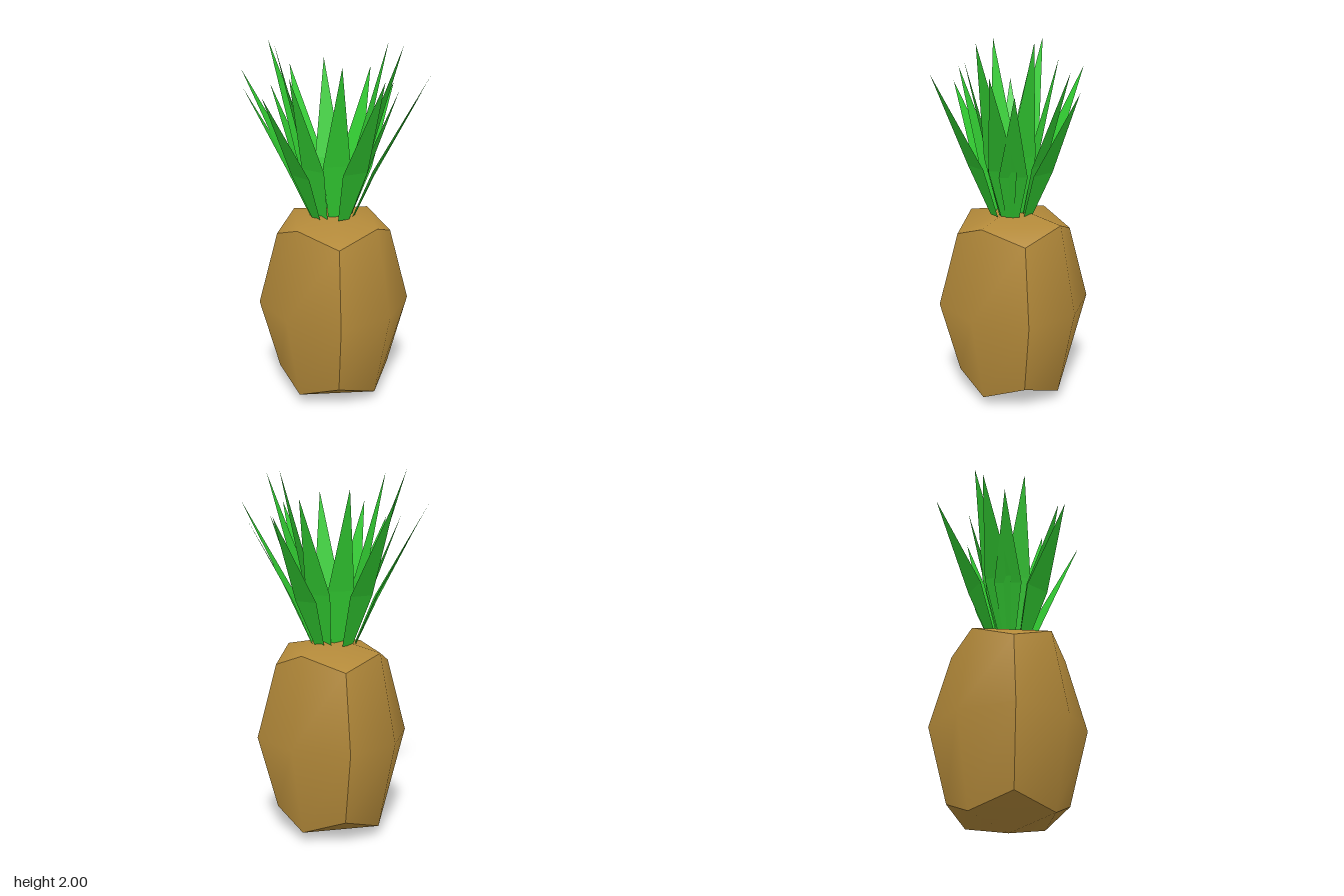
import * as THREE from 'three';

const bodyMat = new THREE.MeshStandardMaterial({ color: 0xb48a3a });
bodyMat.name = 'golden brown';
const leafMat = new THREE.MeshStandardMaterial({ color: 0x32cd32, side: THREE.DoubleSide });
leafMat.name = 'leaf green';

// Barrel body: a 2x2-segment box bulged by corner / edge / face-centre rank, creased between faces
function makeBody() {
  const geo = new THREE.BoxGeometry(2, 2, 2, 2, 2, 2);
  const pos = geo.attributes.position;
  const side = [0, 0.4, 0.302, 0.225];
  const height = [0, 0.55, 0.49, 0.41];
  for (let i = 0; i < pos.count; i++) {
    const s = [pos.getX(i), pos.getY(i), pos.getZ(i)].map(Math.round);
    const rank = Math.abs(s[0]) + Math.abs(s[1]) + Math.abs(s[2]);
    pos.setXYZ(i, s[0] * side[rank], s[1] * height[rank], s[2] * side[rank]);
  }
  geo.computeVertexNormals();
  const body = new THREE.Mesh(geo, bodyMat);
  body.name = 'fruitBody';
  body.position.set(0.01, 0.555, -0.005);
  return body;
}

// Pointed blade: narrow foot, widest about a third of the way up, then a sharp tip
function makeLeaf(tipX, tipY, tipZ, footRadius) {
  const reach = Math.hypot(tipX, tipZ);
  const ux = tipX / reach, uz = tipZ / reach;
  const point = (r, w, y) => [ux * r - uz * w, y, uz * r + ux * w];
  const footY = 1.07;
  const midY = footY + (tipY - footY) * 0.36;
  const midR = footRadius + (reach - footRadius) * 0.31;
  const a = point(footRadius, -0.035, footY), b = point(footRadius, 0.035, footY);
  const c = point(midR, 0.075, midY), d = point(midR, -0.075, midY);
  const tip = point(reach, 0, tipY);
  const geo = new THREE.BufferGeometry();
  const corners = [a, c, b, a, d, c, d, tip, c];
  geo.setAttribute('position', new THREE.Float32BufferAttribute(corners.flat(), 3));
  geo.computeVertexNormals();
  const leaf = new THREE.Mesh(geo, leafMat);
  leaf.name = 'leaf';
  return leaf;
}

export function createModel() {
  const model = new THREE.Group();
  model.name = 'pineapple';
  model.add(makeBody());

  // Crown: each leaf has a partner turned half way round; tip x, y, z and foot radius
  const crown = new THREE.Group();
  crown.name = 'leafCrown';
  const leaves = [
    [0.455, 1.76, 0.07, 0.12],
    [0.28, 1.76, 0.383, 0.12],
    [0.11, 1.77, 0.35, 0.1],
    [0.348, 1.85, -0.015, 0.09],
    [0.203, 1.85, 0.477, 0.12],
    [-0.168, 1.85, 0.465, 0.12],
    [0.163, 1.9, -0.2, 0.06],
    [0.068, 2.0, 0.4, 0.09],
    [0.252, 2.0, 0.175, 0.08],
  ];
  for (const [x, y, z, foot] of leaves) {
    for (const s of [1, -1]) crown.add(makeLeaf(s * x, y, s * z, foot));
  }
  crown.position.set(-0.004, 0, -0.004);
  model.add(crown);
  return model;
}
